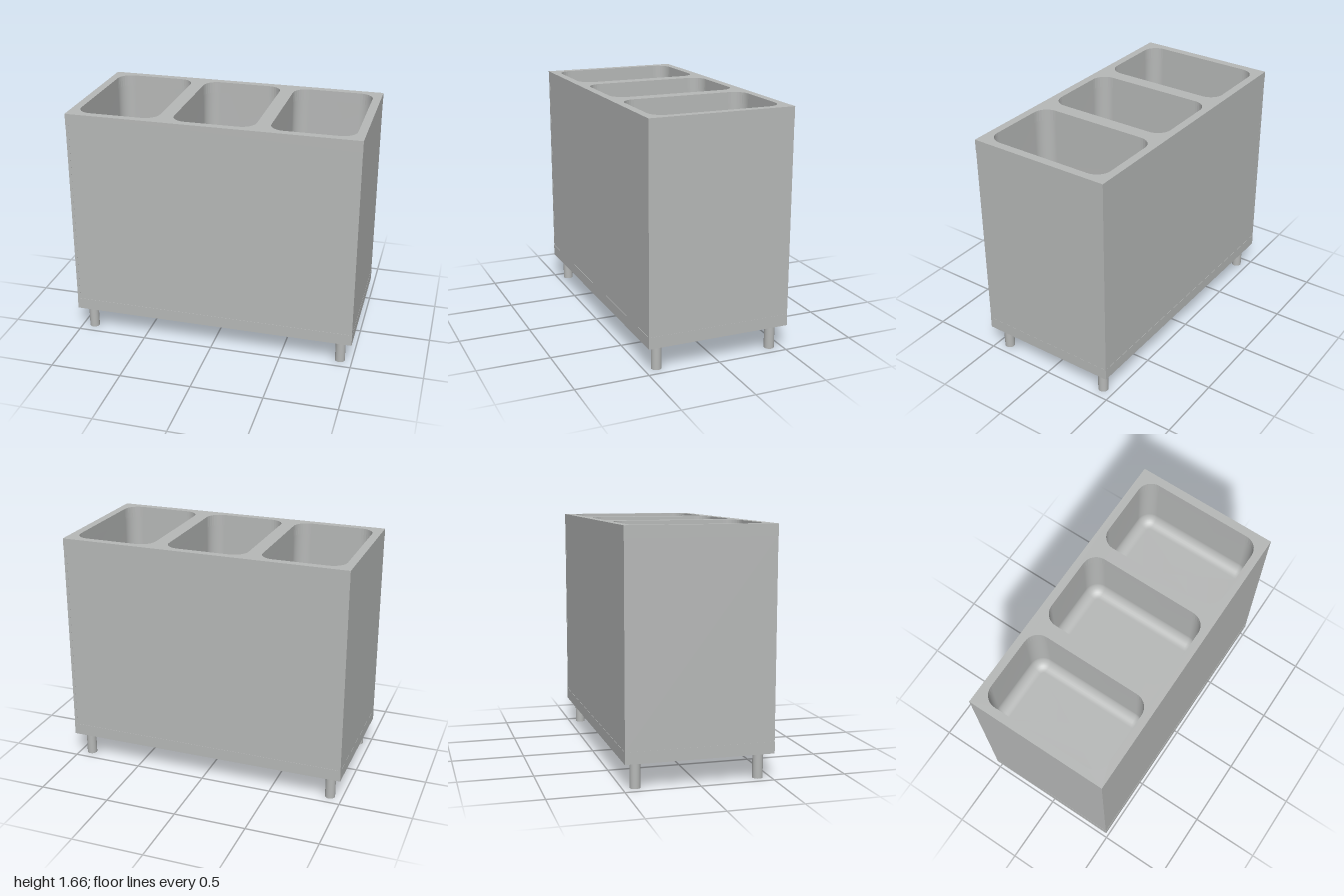
import * as THREE from 'three';

const steel = new THREE.MeshStandardMaterial({ name: 'brushedSteel', color: 0xb6b8b7 });
const TOP = 1.665, RIM_BOTTOM = 1.587, BASE_TOP = 0.258, BASE_BOTTOM = 0.178;
const WELL_W = 0.564, WELL_D = 0.89, CORNER = 0.1, FILLET = 0.08, WELL_FLOOR = 1.165;
const WELL_X = [-0.661, 0, 0.661];

// Points of a rounded rectangle, counter-clockwise, inset from the well outline
function wellOutline(inset) {
  const r = CORNER - inset, steps = 8, points = [];
  const cx = WELL_W / 2 - CORNER, cz = WELL_D / 2 - CORNER;
  [[1, 1], [-1, 1], [-1, -1], [1, -1]].forEach(([sx, sz], quarter) => {
    for (let i = 0; i <= steps; i++) {
      const a = (quarter + i / steps) * Math.PI / 2;
      points.push(new THREE.Vector2(sx * cx + r * Math.cos(a), sz * cz + r * Math.sin(a)));
    }
  });
  return points;
}

// Open basin lofted from the rim down through a rounded foot to a flat floor
function wellGeometry() {
  const rings = [[RIM_BOTTOM, 0]];
  for (let i = 0; i <= 8; i++) {
    const a = (i / 8) * Math.PI / 2;
    rings.push([WELL_FLOOR + FILLET * (1 - Math.sin(a)), FILLET * (1 - Math.cos(a))]);
  }
  const positions = [], index = [];
  const n = wellOutline(0).length;
  for (const [y, inset] of rings) {
    for (const p of wellOutline(inset)) positions.push(p.x, y, p.y);
  }
  for (let k = 0; k < rings.length - 1; k++) {
    for (let i = 0; i < n; i++) {
      const a = k * n + i, b = k * n + (i + 1) % n;
      index.push(a, a + n, b, b, a + n, b + n);
    }
  }
  const last = (rings.length - 1) * n, centre = positions.length / 3;
  positions.push(0, WELL_FLOOR, 0);
  for (let i = 0; i < n; i++) index.push(centre, last + (i + 1) % n, last + i);
  const geometry = new THREE.BufferGeometry();
  geometry.setAttribute('position', new THREE.Float32BufferAttribute(positions, 3));
  geometry.setIndex(index);
  geometry.computeVertexNormals();
  return geometry;
}

export function createModel() {
  const model = new THREE.Group();
  model.name = 'threeWellCounter';
  const add = (name, geometry, x = 0, y = 0, z = 0) => {
    const mesh = new THREE.Mesh(geometry, steel);
    mesh.name = name;
    mesh.position.set(x, y, z);
    model.add(mesh);
  };

  // Worktop with three rounded openings
  const top = new THREE.Shape([
    new THREE.Vector2(-1, -0.5), new THREE.Vector2(1, -0.5),
    new THREE.Vector2(1, 0.5), new THREE.Vector2(-1, 0.5),
  ]);
  for (const x of WELL_X) {
    top.holes.push(new THREE.Path(wellOutline(0).map((p) => new THREE.Vector2(p.x + x, p.y))));
  }
  const topGeometry = new THREE.ExtrudeGeometry(top, { depth: TOP - RIM_BOTTOM, bevelEnabled: false });
  topGeometry.rotateX(Math.PI / 2);
  add('worktop', topGeometry, 0, TOP, 0);

  // Wells
  const well = wellGeometry();
  for (const x of WELL_X) add('well', well, x);

  // Cabinet panels: front and back sit between the side panels
  const height = RIM_BOTTOM - BASE_TOP, midY = (RIM_BOTTOM + BASE_TOP) / 2, t = 0.02;
  for (const s of [1, -1]) {
    add(s > 0 ? 'frontPanel' : 'backPanel',
      new THREE.BoxGeometry(2 - 2 * t, height, t), 0, midY, s * (0.498 - t / 2));
    add(s > 0 ? 'leftPanel' : 'rightPanel',
      new THREE.BoxGeometry(t, height, 0.998), s * (0.999 - t / 2), midY, 0);
  }

  // Base slab
  add('base', new THREE.BoxGeometry(2, BASE_TOP - BASE_BOTTOM, 1), 0, (BASE_TOP + BASE_BOTTOM) / 2, 0);

  // Legs
  const leg = new THREE.CylinderGeometry(0.035, 0.035, BASE_BOTTOM, 24);
  for (const x of [-0.915, 0.915]) {
    for (const z of [-0.415, 0.415]) add('leg', leg, x, BASE_BOTTOM / 2, z);
  }
  return model;
}
